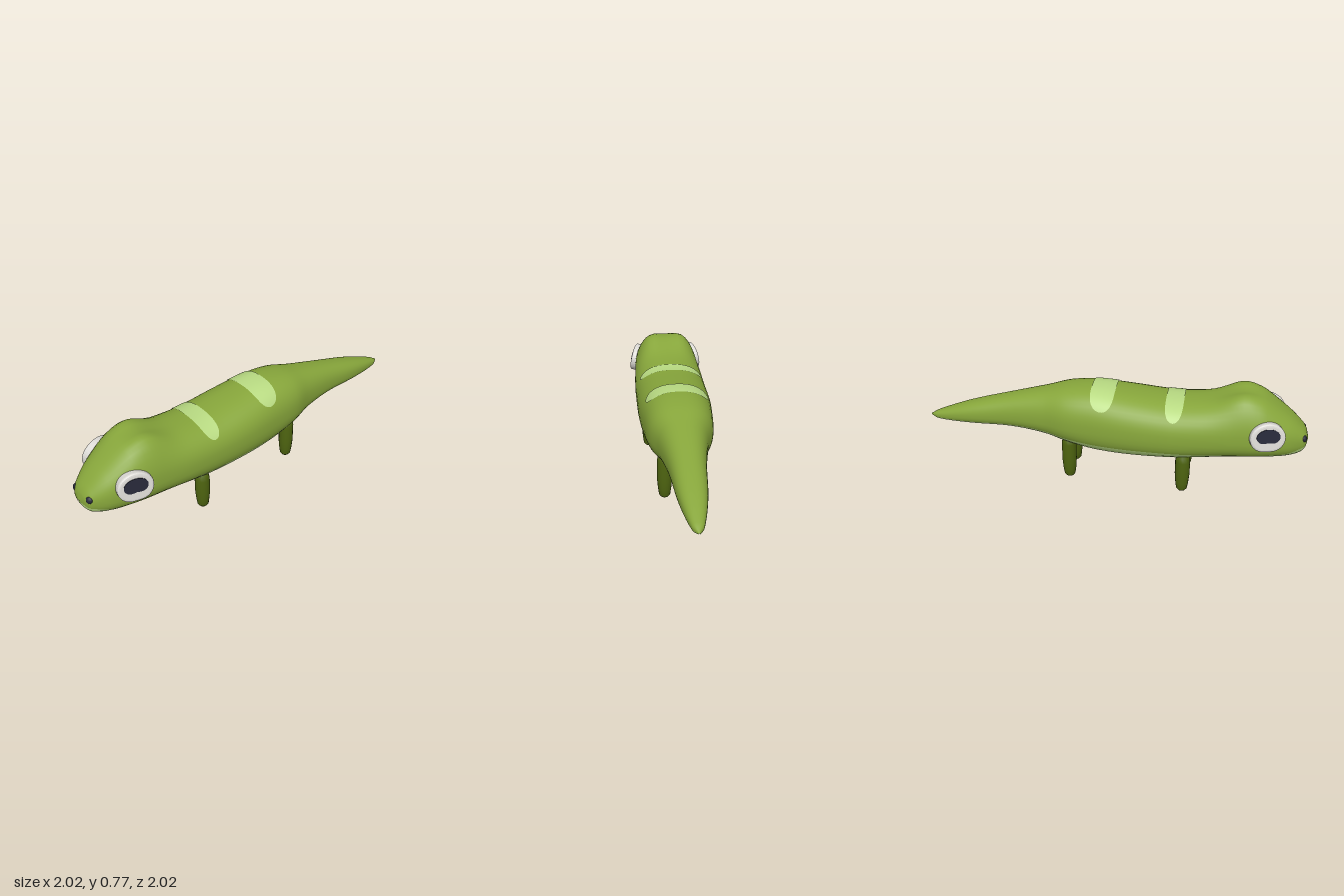
import * as THREE from 'three';

const mat = (name, color, extra = {}) => {
  const m = new THREE.MeshStandardMaterial({ color, ...extra });
  m.name = name;
  return m;
};

// Body stations from tail to nose: along, half width, top, widest height, bottom, belly edge height
const STATIONS = [
  [-1.414, 0.004, 0.365, 0.36, 0.355, 0.358],
  [-1.35, 0.04, 0.4, 0.368, 0.335, 0.356],
  [-1.1, 0.092, 0.495, 0.41, 0.335, 0.37],
  [-0.78, 0.125, 0.59, 0.45, 0.345, 0.39],
  [-0.52, 0.17, 0.66, 0.47, 0.32, 0.385],
  [-0.35, 0.223, 0.705, 0.48, 0.28, 0.365],
  [-0.15, 0.247, 0.722, 0.47, 0.238, 0.347],
  [0.1, 0.265, 0.7, 0.46, 0.225, 0.343],
  [0.4, 0.267, 0.675, 0.45, 0.235, 0.343],
  [0.6, 0.265, 0.686, 0.46, 0.258, 0.346],
  [0.8, 0.255, 0.715, 0.47, 0.284, 0.35],
  [0.95, 0.245, 0.735, 0.475, 0.293, 0.355],
  [1.05, 0.228, 0.725, 0.47, 0.298, 0.36],
  [1.2, 0.18, 0.625, 0.45, 0.308, 0.37],
  [1.3, 0.12, 0.535, 0.435, 0.328, 0.395],
  [1.338, 0.08, 0.485, 0.425, 0.37, 0.405],
  [1.355, 0.004, 0.43, 0.422, 0.415, 0.418],
];
const POWER = 2.4;

// Smooth interpolation of the stations
function station(s) {
  let i = 0;
  while (i < STATIONS.length - 2 && s > STATIONS[i + 1][0]) i++;
  const a = STATIONS[i], b = STATIONS[i + 1];
  const p = STATIONS[Math.max(i - 1, 0)], q = STATIONS[Math.min(i + 2, STATIONS.length - 1)];
  const h = b[0] - a[0], t = (s - a[0]) / h;
  return a.map((v, k) => {
    const m0 = ((b[k] - p[k]) / (b[0] - p[0])) * h;
    const m1 = ((q[k] - v) / (q[0] - a[0])) * h;
    const t2 = t * t, t3 = t2 * t;
    return (2 * t3 - 3 * t2 + 1) * v + (t3 - 2 * t2 + t) * m0 + (3 * t2 - 2 * t3) * b[k] + (t3 - t2) * m1;
  });
}

// Point on the skin at station s and angle u, with two brow bumps on the head
function skin(s, u, lift = 0) {
  const [, w, top, mid, bottom] = station(s);
  const c = Math.cos(u), n = Math.sin(u);
  const x = w * Math.sign(c) * Math.abs(c) ** (2 / POWER);
  const r = Math.abs(n) ** (2 / POWER);
  let y = n > 0 ? mid + (top - mid) * r : mid - (mid - bottom) * r;
  if (n > 0) {
    for (const side of [-1, 1]) {
      y += 0.068 * n * Math.exp(-(((s - 0.88) / 0.1) ** 2 + ((x - side * 0.14) / 0.08) ** 2) / 2);
    }
  }
  return [x + lift * c, y + lift * n, s];
}

// Angle below the widest line where the belly colour starts
function bellyAngle(s) {
  const [, , , mid, bottom, edge] = station(s);
  const f = Math.min(0.95, Math.max(0.02, (mid - edge) / (mid - bottom)));
  return Math.asin(f ** (POWER / 2));
}

function bodyGeometry() {
  const back = 28, belly = 12, around = back + belly;
  const rings = [];
  for (let i = 0; i < STATIONS.length - 1; i++) {
    for (let k = 0; k < 5; k++) rings.push(STATIONS[i][0] + ((STATIONS[i + 1][0] - STATIONS[i][0]) * k) / 5);
  }
  rings.push(STATIONS[STATIONS.length - 1][0]);
  const pos = [], backIndex = [], bellyIndex = [];
  for (const s of rings) {
    const f = bellyAngle(s);
    for (let j = 0; j < around; j++) {
      const u = j <= back
        ? -f + ((Math.PI + 2 * f) * j) / back
        : Math.PI + f + ((Math.PI - 2 * f) * (j - back)) / belly;
      pos.push(...skin(s, u));
    }
  }
  for (let i = 0; i < rings.length - 1; i++) {
    for (let j = 0; j < around; j++) {
      const k = (j + 1) % around;
      const a = i * around + j, b = i * around + k, c = b + around, d = a + around;
      (j < back ? backIndex : bellyIndex).push(a, b, c, a, c, d);
    }
  }
  const g = new THREE.BufferGeometry();
  g.setAttribute('position', new THREE.Float32BufferAttribute(pos, 3));
  g.setIndex([...backIndex, ...bellyIndex]);
  g.addGroup(0, backIndex.length, 0);
  g.addGroup(backIndex.length, bellyIndex.length, 1);
  g.computeVertexNormals();
  return g;
}

// Rounded band laid over the back
function stripeGeometry(centre, half) {
  const across = 28, along = 6, pos = [], index = [];
  for (let i = 0; i <= across; i++) {
    const k = Math.sin((i / across - 0.5) * Math.PI);
    const u = Math.PI / 2 + k * 1.0;
    const h = half * Math.sqrt(Math.max(0, 1 - k ** 4));
    for (let j = 0; j <= along; j++) pos.push(...skin(centre + h * ((2 * j) / along - 1), u, 0.005));
  }
  for (let i = 0; i < across; i++) {
    for (let j = 0; j < along; j++) {
      const a = i * (along + 1) + j, b = a + along + 1;
      index.push(a, b, b + 1, a, b + 1, a + 1);
    }
  }
  const g = new THREE.BufferGeometry();
  g.setAttribute('position', new THREE.Float32BufferAttribute(pos, 3));
  g.setIndex(index);
  g.computeVertexNormals();
  return g;
}

// Oval with a notch at the bottom
function beanShape(rx, ry, notch) {
  const pts = [];
  for (let i = 0; i < 40; i++) {
    const a = (i / 40) * Math.PI * 2 - Math.PI / 2;
    const d = i > 20 ? i - 40 : i;
    const r = 1 - notch * Math.exp(-((d / 3.2) ** 2));
    pts.push(new THREE.Vector2(rx * r * Math.cos(a), ry * r * Math.sin(a)));
  }
  return new THREE.Shape(pts);
}

function legGeometry(top) {
  const profile = [[0, 0], [0.028, 0.004], [0.04, 0.02], [0.047, 0.07], [0.053, 0.14], [0.053, top - 0.06],
    [0.046, top - 0.025], [0.028, top - 0.006], [0, top]];
  return new THREE.LatheGeometry(profile.map(([x, y]) => new THREE.Vector2(x, y)), 16);
}

export function createModel() {
  const skinGreen = mat('skinGreen', 0x87a63b);
  const paleGreen = mat('paleGreen', 0xb8da82);
  const stripeGreen = mat('stripeGreen', 0xb8da82, { side: THREE.DoubleSide });
  const legGreen = mat('legGreen', 0x4e6410);
  const eyeWhite = mat('eyeWhite', 0xdad8d4);
  const darkBlue = mat('darkBlue', 0x262838);

  const model = new THREE.Group();
  model.name = 'lizard';
  const add = (name, geometry, material, parent = model) => {
    const mesh = new THREE.Mesh(geometry, material);
    mesh.name = name;
    parent.add(mesh);
    return mesh;
  };

  add('body', bodyGeometry(), [skinGreen, paleGreen]);
  add('frontStripe', stripeGeometry(0.415, 0.063), stripeGreen);
  add('rearStripe', stripeGeometry(-0.092, 0.085), stripeGreen);

  const eyeball = new THREE.ExtrudeGeometry(beanShape(0.105, 0.09, 0.13), {
    depth: 0.05, bevelEnabled: true, bevelThickness: 0.014, bevelSize: 0.018, bevelSegments: 3,
  }).translate(0, 0, -0.064);
  const pupil = new THREE.ExtrudeGeometry(beanShape(0.082, 0.057, 0.28), { depth: 0.005, bevelEnabled: false });

  for (const side of [-1, 1]) {
    const label = side > 0 ? 'left' : 'right';

    // Eyes
    const eye = new THREE.Group();
    eye.name = label + 'Eye';
    eye.position.set(side * 0.255, 0.537, 1.07);
    eye.rotation.set(-0.17, side * 1.32, 0, 'YXZ');
    add(label + 'EyeWhite', eyeball, eyeWhite, eye);
    add(label + 'Pupil', pupil, darkBlue, eye).position.set(0, 0.015, -0.001);
    model.add(eye);

    // Nostrils
    add(label + 'Nostril', new THREE.SphereGeometry(0.029, 14, 10), darkBlue).position.set(side * 0.08, 0.46, 1.312);

    // Legs
    add(label + 'FrontLeg', legGeometry(0.31), legGreen).position.set(side * 0.17, 0, 0.495);
    add(label + 'RearLeg', legGeometry(0.345), legGreen).position.set(side * 0.113, 0, -0.34);
  }

  // The animal stands diagonally
  model.rotation.y = -Math.PI / 4;
  const root = new THREE.Group();
  root.name = 'model';
  root.add(model);
  return root;
}
